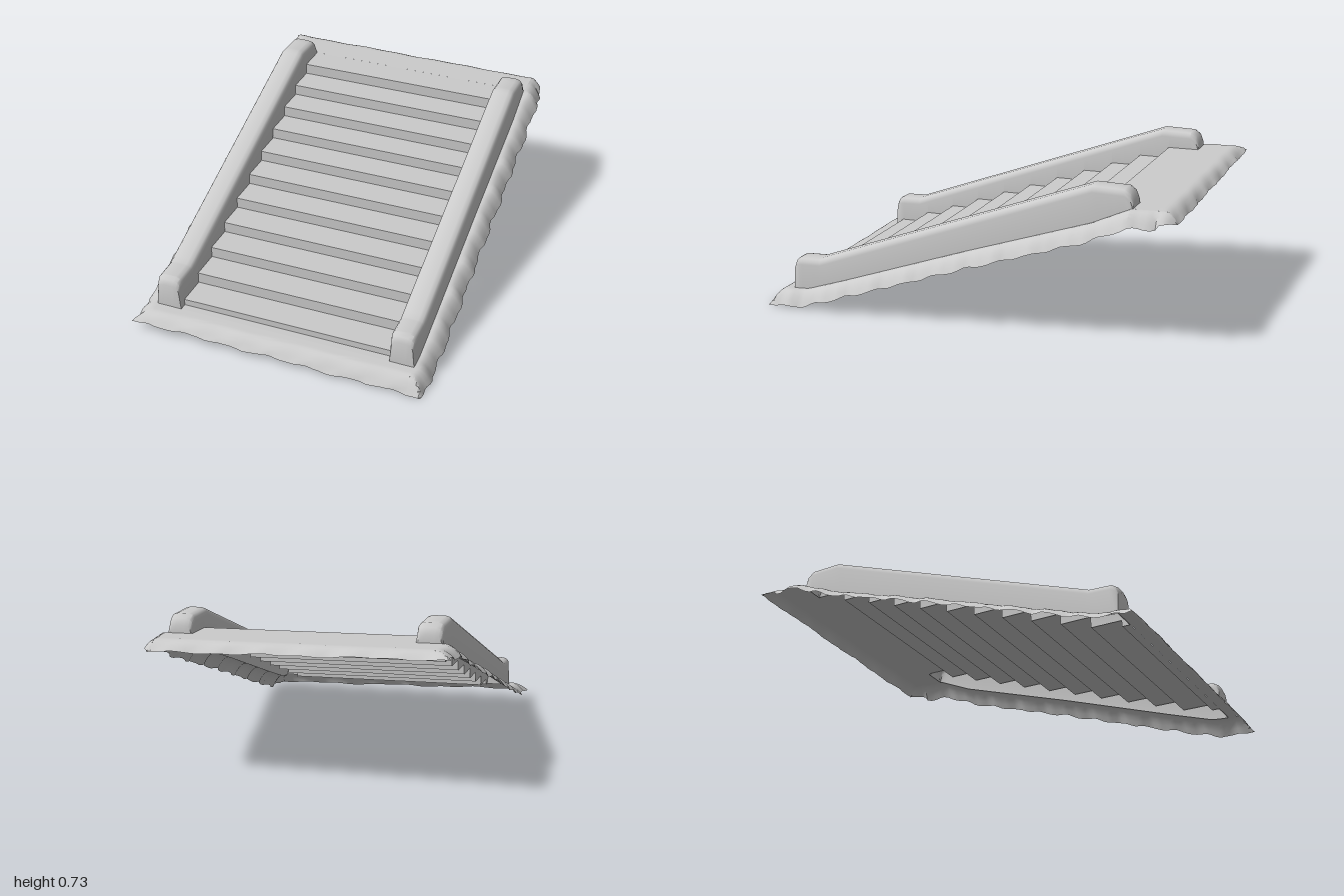
import * as THREE from 'three';
import { toCreasedNormals } from 'three/addons/utils/BufferGeometryUtils.js';

const material = new THREE.MeshStandardMaterial({ color: 0xcccccc, side: THREE.DoubleSide });
const { clamp, lerp } = THREE.MathUtils;

// Slight overall skew so the stairway sits a little crooked
const skew = ([x, y, z]) => [x + 0.025 * z, Math.max(0, y - 0.016 * x), z - 0.028 * x];

// Skin a grid of points: rows run towards +z, columns towards +x
function sheet(name, rows, crease = 0.6) {
  const cols = rows[0].length, index = [];
  for (let r = 0; r < rows.length - 1; r++)
    for (let c = 0; c < cols - 1; c++) {
      const a = r * cols + c, b = a + cols;
      index.push(a, b, a + 1, a + 1, b, b + 1);
    }
  const geometry = new THREE.BufferGeometry();
  geometry.setAttribute('position', new THREE.Float32BufferAttribute(rows.flat().flatMap(skew), 3));
  geometry.setIndex(index);
  const mesh = new THREE.Mesh(toCreasedNormals(geometry, crease), material);
  mesh.name = name;
  return mesh;
}

// Piecewise linear profile through [z, y] points sorted by z
function profile(points, z) {
  for (let i = 1; i < points.length; i++) {
    const [z0, y0] = points[i - 1], [z1, y1] = points[i];
    if (z <= z1) return lerp(y0, y1, clamp((z - z0) / (z1 - z0), 0, 1));
  }
  return points[points.length - 1][1];
}

const span = (a, b, n) => Array.from({ length: n + 1 }, (_, i) => lerp(a, b, i / n));

// Main dimensions
const BACK = -0.99, FRONT = 0.98, RAIL_BACK = -0.786, RAIL_FRONT = 0.876;
const STEPS = 11, FIRST = -0.636, TREAD = 0.1475, RISE = 0.052, TOP = 0.635, FOOT = 0.085;
const RAILS = { left: { x: 0.56, w: 0.058 }, right: { x: -0.575, w: 0.06 } };
const OUT_L = RAILS.left.x + RAILS.left.w, OUT_R = RAILS.right.x - RAILS.right.w;
const IN_L = RAILS.left.x - RAILS.left.w, IN_R = RAILS.right.x + RAILS.right.w;

function stairHeight(z) {
  const n = Math.floor((z - FIRST) / TREAD) + 1;
  return n <= 0 ? TOP : n >= STEPS ? FOOT : TOP - RISE * n;
}

// Height of the ground along the outside of the rails
const bank = z => profile([[BACK, 0.64], [-0.78, 0.635], [-0.6, 0.555], [0, 0.36],
  [0.6, 0.155], [0.8, 0.09], [FRONT, 0.08]], z);

// Ragged outer border of the ground
const ragged = t => 0.006 * Math.sin(31 * t) + 0.004 * Math.sin(73 * t + 1);
const edgeLeft = z => 0.69 + ragged(z) - 0.06 * clamp((-0.88 - z) / 0.11, 0, 1);
const edgeRight = z => -0.71 + ragged(z + 2);

// Ground height, drooping towards the border
function ground(x, z) {
  const d = Math.min(edgeLeft(z) - x, x - edgeRight(z), z - BACK, FRONT - z);
  const k = 1 - clamp(d / 0.065, 0, 1);
  const droop = (0.056 + 0.018 * x) * (z < -0.9 ? 0.75 : 1);
  const rough = 0.006 * Math.sin(41 * z + 9 * x) * Math.sin(23 * x + 2);
  return bank(z) - droop * k * k + rough * k;
}

const groundPoint = (x, z) => {
  const end = z === BACK || z === FRONT ? 0.5 * ragged(x) : 0;
  return [x, ground(x, z), z + end];
};

// Rounded channel-shaped rail whose inner wall follows the steps
function rail(name, { x, w }) {
  const tops = [[RAIL_BACK, 0.67], [-0.772, 0.7], [-0.745, 0.718], [-0.6, 0.722],
    [0.74, 0.24], [0.845, 0.236], [0.865, 0.225], [RAIL_FRONT, 0.2]];
  const zs = [...span(RAIL_BACK, RAIL_FRONT, 40), ...tops.map(p => p[0])];
  for (let i = 0; i < STEPS; i++) zs.push(FIRST + i * TREAD - 0.001, FIRST + i * TREAD + 0.001);
  const stations = [...new Set(zs)].sort((a, b) => a - b);
  const rows = stations.map(z => {
    const top = profile(tops, z), outer = bank(z) - 0.005, inner = stairHeight(z) - 0.003;
    const nearEnd = Math.min(z - RAIL_BACK, RAIL_FRONT - z);
    const half = w * (0.86 + 0.14 * clamp(nearEnd / 0.025, 0, 1));
    const r = Math.min(0.032, top - Math.max(outer, inner));
    const [yMinus, yPlus] = x > 0 ? [inner, outer] : [outer, inner];
    return [[-w, yMinus], [-half, top - r], [-half + 0.1 * r, top - 0.55 * r], [-half + 0.4 * r, top - 0.18 * r],
      [-half + r, top], [half - r, top], [half - 0.4 * r, top - 0.18 * r], [half - 0.1 * r, top - 0.55 * r],
      [half, top - r], [w, yPlus]].map(([dx, y]) => [x + dx, y, z]);
  });
  // Close both ends down to the ground
  const cap = row => row.map(([px, , z]) => [px, bank(z) - 0.005, z]);
  return sheet(name, [cap(rows[0]), ...rows, cap(rows[rows.length - 1])], 0.75);
}

export function createModel() {
  const group = new THREE.Group();
  group.name = 'stairway';

  // Steps: a folded sheet of treads and vertical risers
  const line = [[RAIL_BACK, TOP]];
  for (let i = 0; i < STEPS; i++) {
    const z = FIRST + i * TREAD;
    line.push([z, stairHeight(z - 0.01)], [z, stairHeight(z + 0.01)]);
  }
  line.push([RAIL_FRONT, FOOT]);
  group.add(sheet('steps', line.map(([z, y]) => [IN_R, IN_L].map(x => [x, y, z]))));

  // Rails on both sides
  group.add(rail('leftRail', RAILS.left), rail('rightRail', RAILS.right));

  // Drooping banks outside the rails
  const zs = [...span(BACK, -0.9, 6), ...span(-0.88, 0.88, 70), ...span(0.9, FRONT, 6)];
  group.add(sheet('leftBank', zs.map(z => span(OUT_L, edgeLeft(z), 6).map(x => groundPoint(x, z)))));
  group.add(sheet('rightBank', zs.map(z => span(edgeRight(z), OUT_R, 6).map(x => groundPoint(x, z)))));

  // Landing at the top and apron at the foot
  const strip = (a, b) => span(a, b, 12).map(z => span(OUT_R, OUT_L, 40).map(x => groundPoint(x, z)));
  group.add(sheet('landing', strip(BACK, RAIL_BACK)), sheet('apron', strip(RAIL_FRONT, FRONT)));
  return group;
}
